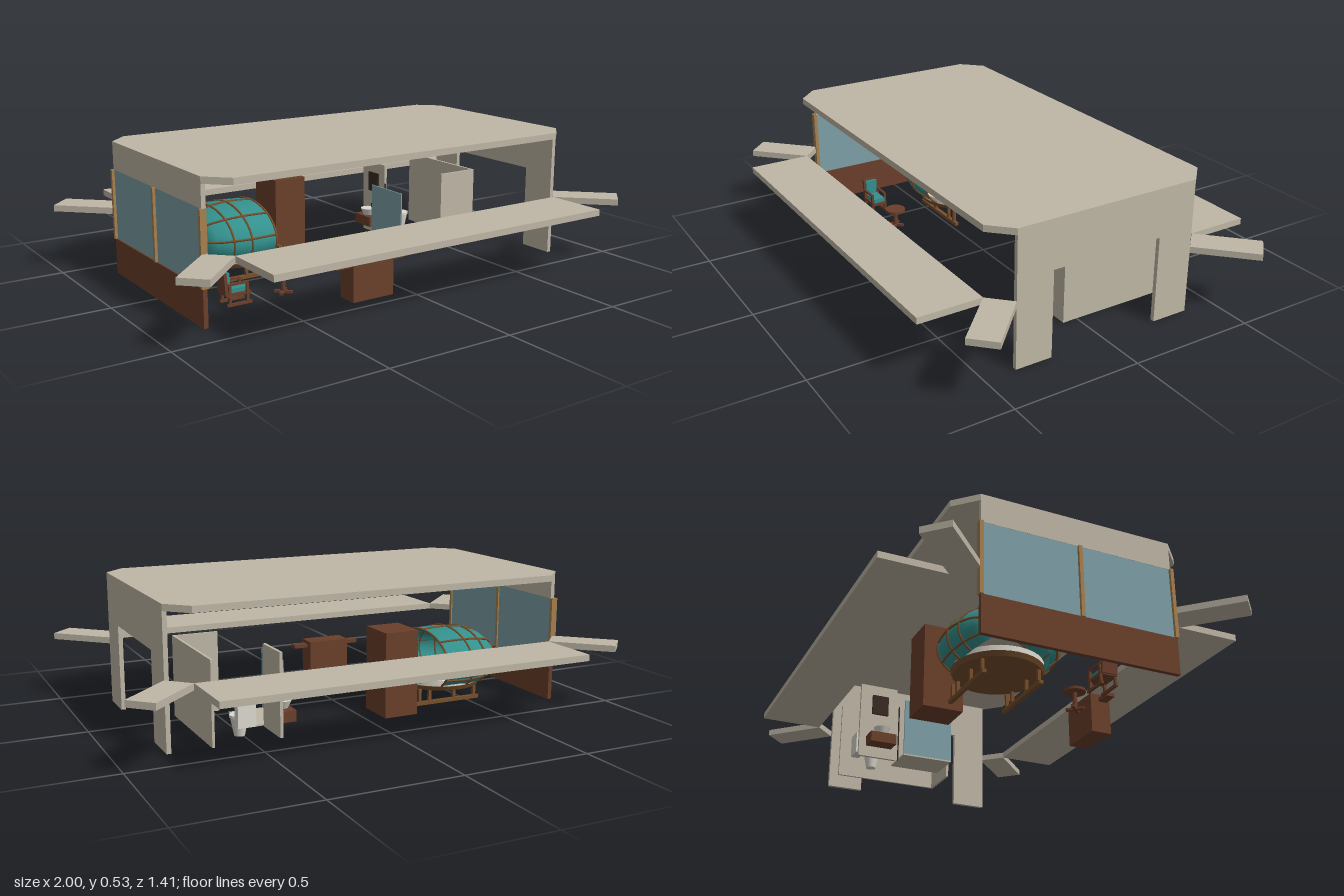
import * as THREE from 'three';

const mat = (name, color, side = THREE.FrontSide) => {
  const m = new THREE.MeshStandardMaterial({ color, side });
  m.name = name;
  return m;
};

export function createModel() {
  const root = new THREE.Group();
  const stone = mat('stone', 0xbfb7a6);
  const wood = mat('darkWood', 0x6b3f2b);
  const tan = mat('tanWood', 0xa5804f);
  const rib = mat('ribWood', 0x78502c);
  const glass = mat('glass', 0x7d9fa7, THREE.DoubleSide);
  const teal = mat('tealCloth', 0x33908d, THREE.DoubleSide);
  const white = mat('white', 0xdedad0);
  const metal = mat('darkMetal', 0x3a2a22);

  const add = (name, geo, m, parent = root) => {
    const mesh = new THREE.Mesh(geo, m);
    mesh.name = name;
    parent.add(mesh);
    return mesh;
  };
  // box from its limits on each axis
  const box = (name, m, x0, x1, y0, y1, z0, z1, parent) => {
    const mesh = add(name, new THREE.BoxGeometry(x1 - x0, y1 - y0, z1 - z0), m, parent);
    mesh.position.set((x0 + x1) / 2, (y0 + y1) / 2, (z0 + z1) / 2);
    return mesh;
  };
  const cyl = (name, m, r0, r1, h, x, y, z, parent, n = 20) => {
    const mesh = add(name, new THREE.CylinderGeometry(r0, r1, h, n), m, parent);
    mesh.position.set(x, y, z);
    return mesh;
  };
  // flat slab from an outline in x and z
  const slab = (name, m, pts, y0, h) => {
    const shape = new THREE.Shape(pts.map(([x, z]) => new THREE.Vector2(x, -z)));
    const geo = new THREE.ExtrudeGeometry(shape, { depth: h, bevelEnabled: false });
    geo.rotateX(-Math.PI / 2);
    return add(name, geo, m).translateY(y0);
  };

  // roof with cut corners
  slab('roof', stone, [[-0.735, 0.455], [0.735, 0.455], [0.815, 0.375], [0.815, -0.375],
    [0.735, -0.455], [-0.735, -0.455], [-0.815, -0.375], [-0.815, 0.375]], 0.505, 0.025);

  // folded-down side panels and diagonal corner flaps
  for (const s of [-1, 1]) {
    box('sidePanel', stone, -0.735, 0.735, 0.24, 0.265, s > 0 ? 0.455 : -0.705, s > 0 ? 0.705 : -0.455);
    for (const t of [-1, 1]) {
      slab('cornerFlap', stone, [[0.735, 0.455], [0.815, 0.375], [1, 0.555], [0.92, 0.635]]
        .map(([x, z]) => [x * t, z * s]), 0.24, 0.025);
    }
  }

  // end wall with doorway
  box('doorwayLintel', stone, 0.798, 0.815, 0.34, 0.505, -0.375, 0.375);
  box('doorwayPier', stone, 0.798, 0.815, 0, 0.34, 0.228, 0.375);
  box('doorwayPier', stone, 0.798, 0.815, 0, 0.34, -0.375, -0.226);

  // glazed end wall
  box('wallBand', stone, -0.815, -0.798, 0.42, 0.505, -0.375, 0.375);
  box('wallPlinth', wood, -0.82, -0.803, 0, 0.142, -0.378, 0.378);
  box('wallGlass', glass, -0.814, -0.806, 0.142, 0.42, -0.375, 0.375);
  for (const z of [-0.376, 0, 0.376]) box('mullion', tan, -0.825, -0.8, 0.142, 0.42, z - 0.007, z + 0.007);

  // ceiling lamps
  for (const x of [-0.695, 0, 0.565]) {
    box('lampBody', tan, x - 0.04, x + 0.04, 0.478, 0.505, -0.04, 0.04);
    box('lampLens', tan, x - 0.033, x + 0.033, 0.466, 0.478, -0.033, 0.033);
  }

  // front counter with shelf, and tall cabinet
  box('counter', wood, -0.25, -0.07, 0, 0.16, 0.36, 0.445);
  box('counterShelf', wood, -0.315, -0.01, 0.13, 0.145, 0.395, 0.43);
  box('cabinet', wood, -0.21, -0.07, 0, 0.335, -0.33, -0.17);

  // washroom partitions
  box('partition', stone, 0.64, 0.65, 0, 0.32, -0.38, 0.06);
  box('partition', stone, 0.47, 0.64, 0, 0.32, 0.05, 0.06);
  box('partition', stone, 0.378, 0.39, 0, 0.32, -0.38, -0.22);

  // shower
  const shower = new THREE.Group();
  shower.name = 'shower';
  root.add(shower);
  box('showerTray', stone, 0.302, 0.45, 0, 0.006, -0.21, 0, shower);
  box('showerGlass', glass, 0.302, 0.308, 0.006, 0.245, -0.21, 0, shower);
  cyl('showerPost', metal, 0.003, 0.003, 0.24, 0.374, 0.12, -0.21, shower, 8);

  // washstand
  const washstand = new THREE.Group();
  washstand.name = 'washstand';
  root.add(washstand);
  box('washCabinet', wood, 0.312, 0.378, 0.045, 0.088, -0.35, -0.24, washstand);
  cyl('basin', white, 0.034, 0.02, 0.03, 0.344, 0.103, -0.295, washstand);
  box('tap', metal, 0.362, 0.378, 0.118, 0.136, -0.3, -0.29, washstand);
  box('mirror', metal, 0.37, 0.378, 0.19, 0.275, -0.33, -0.26, washstand);

  // toilet
  const toilet = new THREE.Group();
  toilet.name = 'toilet';
  root.add(toilet);
  cyl('toiletBowl', white, 0.034, 0.02, 0.07, 0.51, 0.035, -0.28, toilet);
  cyl('toiletSeat', white, 0.037, 0.037, 0.01, 0.51, 0.075, -0.28, toilet);
  box('toiletTank', white, 0.475, 0.545, 0.05, 0.14, -0.36, -0.325, toilet);

  // canopy bed: mattress, frame, runners
  const bed = new THREE.Group();
  bed.name = 'canopyBed';
  root.add(bed);
  const cz = -0.13;
  const mattress = cyl('mattress', white, 0.17, 0.17, 0.022, -0.425, 0.093, cz, bed, 32);
  mattress.scale.z = 0.98;
  const rim = cyl('bedFrame', rib, 0.174, 0.165, 0.018, -0.425, 0.073, cz, bed, 32);
  rim.scale.z = 0.98;
  for (const s of [-1, 1]) {
    box('runner', rib, -0.55, -0.25, 0.004, 0.018, cz + s * 0.11 - 0.008, cz + s * 0.11 + 0.008, bed);
    for (const x of [-0.53, -0.435, -0.32, -0.275]) {
      box('bedLeg', rib, x - 0.006, x + 0.006, 0.018, 0.07, cz + s * 0.11 - 0.006, cz + s * 0.11 + 0.006, bed);
    }
  }
  box('footRail', rib, -0.285, -0.272, 0.094, 0.108, cz - 0.11, cz + 0.11, bed);

  // canopy hood: arched cross-sections that shrink toward the closed end
  const stations = [[-0.35, 0.97], [-0.4, 1], [-0.46, 1.01], [-0.53, 0.95], [-0.585, 0.82], [-0.62, 0.6]];
  const a0 = -0.72, a1 = Math.PI + 0.72;
  const hoodPoint = (x, k, t, grow = 0) => {
    const a = a0 + (a1 - a0) * t;
    return new THREE.Vector3(x, Math.max(0.08, 0.165 + Math.sin(a) * (0.124 * k + grow)),
      cz + Math.cos(a) * (0.21 * k + grow));
  };
  const N = 24, pos = [], idx = [];
  stations.forEach(([x, k]) => {
    for (let j = 0; j <= N; j++) pos.push(...hoodPoint(x, k, j / N).toArray());
  });
  for (let i = 0; i < stations.length - 1; i++) {
    for (let j = 0; j < N; j++) {
      const a = i * (N + 1) + j, b = a + N + 1;
      idx.push(a, a + 1, b, b, a + 1, b + 1);
    }
  }
  // closed end of the hood
  const last = (stations.length - 1) * (N + 1), centre = pos.length / 3;
  pos.push(-0.622, 0.155, cz);
  for (let j = 0; j < N; j++) idx.push(last + j, last + j + 1, centre);
  const hood = new THREE.BufferGeometry();
  hood.setAttribute('position', new THREE.Float32BufferAttribute(pos, 3));
  hood.setIndex(idx);
  hood.computeVertexNormals();
  add('hood', hood, teal, bed);

  // hood ribs: hoops around and stringers along
  const tube = (name, pts) => add(name,
    new THREE.TubeGeometry(new THREE.CatmullRomCurve3(pts), 32, 0.0045, 6), rib, bed);
  for (const i of [0, 2, 3, 5]) {
    const [x, k] = stations[i];
    tube('hoop', Array.from({ length: N + 1 }, (_, j) => hoodPoint(x, k, j / N, 0.001)));
  }
  for (const t of [0.06, 0.2, 0.35, 0.5, 0.65, 0.8, 0.94]) {
    tube('stringer', stations.map(([x, k]) => hoodPoint(x, k, t, 0.001)));
  }

  // armchair with teal cushions
  const chair = new THREE.Group();
  chair.name = 'armchair';
  root.add(chair);
  box('seatFrame', wood, -0.65, -0.555, 0.036, 0.048, 0.165, 0.23, chair);
  box('seatCushion', teal, -0.635, -0.56, 0.048, 0.064, 0.172, 0.223, chair);
  const back = box('chairBack', wood, -0.66, -0.648, 0.04, 0.128, 0.167, 0.228, chair);
  back.rotation.z = 0.08;
  box('backCushion', teal, -0.649, -0.636, 0.06, 0.124, 0.172, 0.223, chair);
  for (const z of [0.168, 0.227]) {
    box('armRest', wood, -0.65, -0.565, 0.078, 0.086, z - 0.005, z + 0.005, chair);
    box('chairRunner', wood, -0.65, -0.55, 0, 0.01, z - 0.005, z + 0.005, chair);
    for (const x of [-0.64, -0.568]) box('chairLeg', wood, x - 0.005, x + 0.005, 0.01, 0.08, z - 0.005, z + 0.005, chair);
  }

  // small round table
  const table = new THREE.Group();
  table.name = 'roundTable';
  root.add(table);
  cyl('tableTop', wood, 0.042, 0.042, 0.01, -0.4, 0.075, 0.2, table, 24);
  cyl('tableStem', wood, 0.008, 0.01, 0.07, -0.4, 0.035, 0.2, table, 10);
  for (let i = 0; i < 2; i++) {
    const foot = box('tableFoot', wood, -0.435, -0.365, 0, 0.01, 0.194, 0.206, table);
    foot.rotation.y = Math.PI / 4 + i * Math.PI / 2;
  }
  return root;
}
